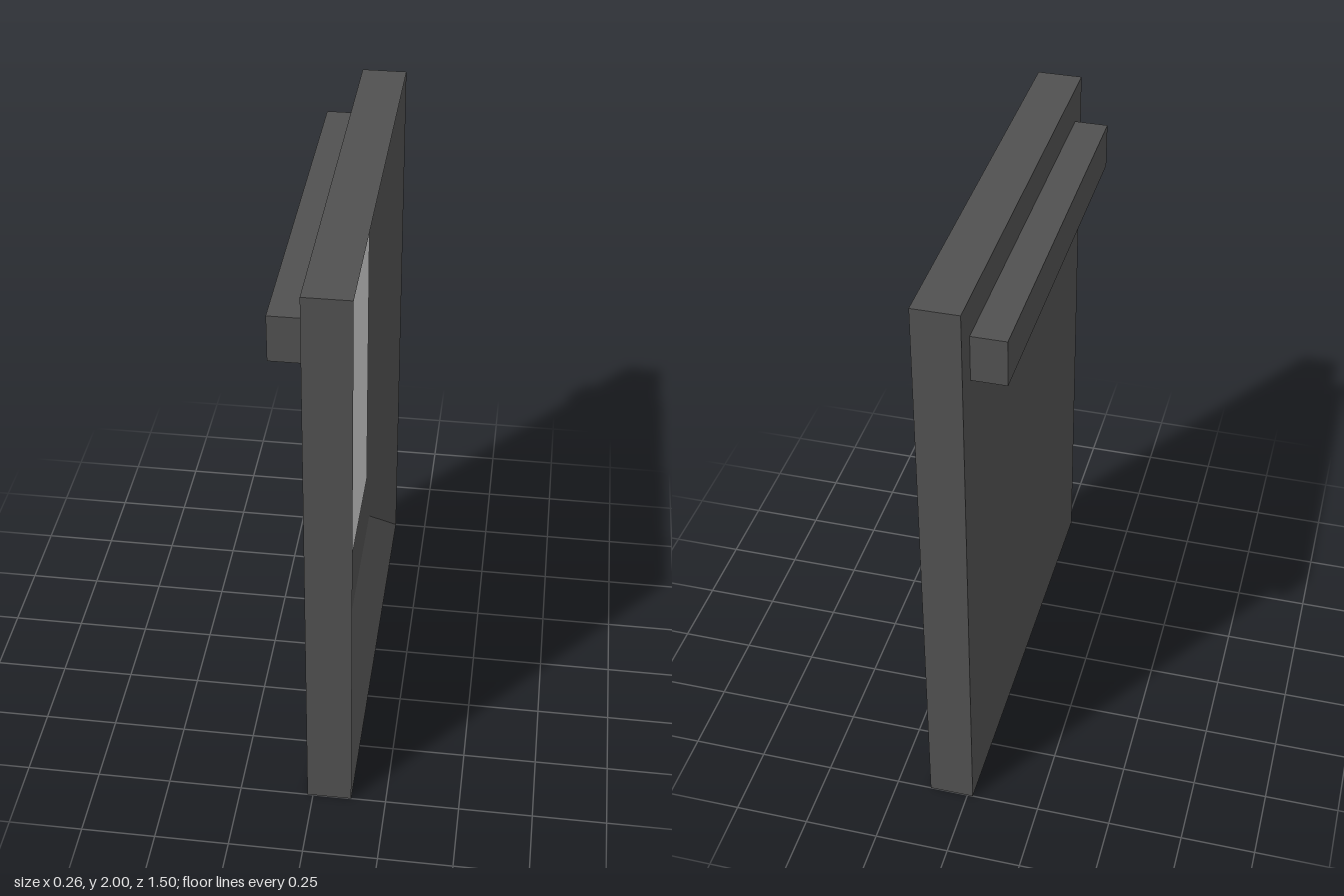
import * as THREE from 'three';

const BACK = -0.019, FRONT = 0.132, RECESS = 0.038;

// Rectangular cross-section at depth x, counter-clockwise seen from +x
const rect = (x, halfZ, y0, y1) => [
  [x, y0, halfZ], [x, y0, -halfZ], [x, y1, -halfZ], [x, y1, halfZ],
];

// Skins a run of rectangles from back to front and caps both ends
function loft(loops) {
  const pos = [];
  const quad = (a, b, c, d) => pos.push(...a, ...b, ...c, ...a, ...c, ...d);
  for (let k = 0; k < loops.length - 1; k++) {
    const a = loops[k], b = loops[k + 1];
    for (let i = 0; i < 4; i++) {
      const j = (i + 1) % 4;
      quad(a[i], a[j], b[j], b[i]);
    }
  }
  quad(...[...loops[0]].reverse());
  quad(...loops[loops.length - 1]);
  const geo = new THREE.BufferGeometry();
  geo.setAttribute('position', new THREE.Float32BufferAttribute(pos, 3));
  geo.computeVertexNormals();
  return geo;
}

export function createModel() {
  const group = new THREE.Group();
  const dark = new THREE.MeshStandardMaterial({ color: 0x505050 });
  const light = new THREE.MeshStandardMaterial({ color: 0xcccccc });

  const add = (name, geo, mat, x, y, z) => {
    const mesh = new THREE.Mesh(geo, mat);
    mesh.name = name;
    mesh.position.set(x, y, z);
    group.add(mesh);
    return mesh;
  };

  // Frame: flat back, straight sides, mitred slopes down to a recessed mount
  add('frame', loft([
    rect(BACK, 0.75, 0, 2),
    rect(FRONT, 0.75, 0, 2),
    rect(RECESS, 0.6, 0.155, 1.845),
  ]), dark, 0, 0, 0);

  // Picture lying on the mount, slightly above centre
  const picture = add('picture', new THREE.PlaneGeometry(0.955, 1.265), light, RECESS + 0.002, 1.07, 0.002);
  picture.rotation.y = Math.PI / 2;

  // Hanging rail across the back
  add('hangingRail', new THREE.BoxGeometry(0.113, 0.155, 1.33), dark, BACK - 0.0565, 1.798, -0.002);

  return group;
}
